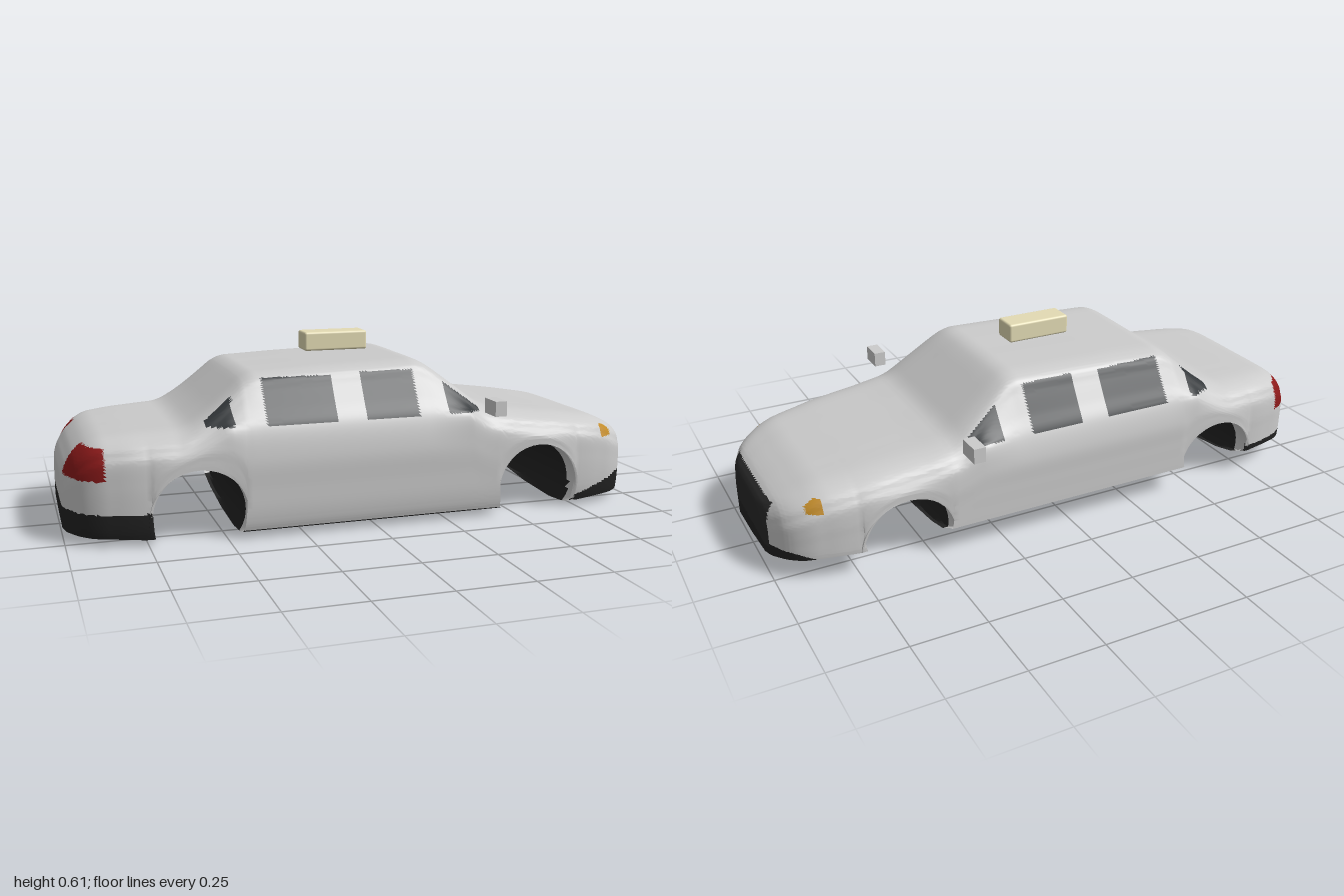
import * as THREE from 'three';
import { toCreasedNormals } from 'three/addons/utils/BufferGeometryUtils.js';
import { RoundedBoxGeometry } from 'three/addons/geometries/RoundedBoxGeometry.js';

const { lerp, clamp } = THREE.MathUtils;

// Piecewise table lookup, and a softened version of it
function table(points, x) {
  if (x <= points[0][0]) return points[0][1];
  for (let i = 1; i < points.length; i++) {
    const [x0, y0] = points[i - 1], [x1, y1] = points[i];
    if (x <= x1) return lerp(y0, y1, (x - x0) / (x1 - x0));
  }
  return points[points.length - 1][1];
}
function soft(points, x) {
  const r = Math.min(0.025, 1 - Math.abs(x));
  return [-1, -0.5, 0, 0.5, 1].reduce((sum, k) => sum + table(points, x + k * r), 0) / 5;
}

// Centre-line height, plan half width, flank profile by height, skewed floor by z
const TOP = [[-1, 0.22], [-0.985, 0.26], [-0.95, 0.3], [-0.9, 0.335], [-0.8, 0.345], [-0.62, 0.355],
  [-0.55, 0.4], [-0.41, 0.515], [-0.2, 0.525], [0.18, 0.536], [0.22, 0.513], [0.3, 0.452],
  [0.4, 0.376], [0.5, 0.358], [0.7, 0.332], [0.85, 0.308], [0.94, 0.268], [0.985, 0.24], [1, 0.215]];
const WIDTH = [[-1, 0.17], [-0.985, 0.235], [-0.96, 0.28], [-0.9, 0.328], [-0.8, 0.357], [-0.65, 0.375],
  [-0.45, 0.383], [0.45, 0.383], [0.65, 0.372], [0.8, 0.354], [0.9, 0.326], [0.96, 0.28],
  [0.985, 0.235], [1, 0.17]];
const FLANK = [[0, 0.9], [0.02, 0.94], [0.05, 0.965], [0.1, 0.985], [0.25, 1]];
const FLOOR = [[-0.38, 0.12], [-0.36, 0.095], [-0.3, 0.06], [-0.2, 0.035], [0, 0.01], [0.2, 0],
  [0.3, 0.008], [0.36, 0.025]];
const ARCHES = [-0.59, 0.585], ARCH_R = 0.16, ARCH_Y = 0.08;
const SIDE_ROWS = 72, FLOOR_ROWS = 14;

// Stations along the car; arch stations also carry a point on the wheel arch
function stations() {
  const list = [];
  const span = (a, b, n) => {
    for (let i = 0; i < n; i++) list.push({ x: lerp(a, b, (i + 0.5) / n), k: 1 });
  };
  const arch = cx => {
    for (let i = 0; i <= 24; i++) {
      const a = (210 - 10 * i) * Math.PI / 180;
      list.push({ x: cx + ARCH_R * (i / 12 - 1), k: 1, ax: cx + ARCH_R * Math.cos(a), ay: ARCH_Y + ARCH_R * Math.sin(a) });
    }
  };
  const shrink = [0, 0.12, 0.25, 0.4, 0.55, 0.7, 0.85, 1];
  shrink.forEach(k => list.push({ x: -1, k }));
  span(-1, -0.94, 12);
  span(-0.94, -0.75, 18);
  arch(ARCHES[0]);
  span(-0.43, 0.425, 86);
  arch(ARCHES[1]);
  span(0.745, 0.94, 18);
  span(0.94, 1, 12);
  shrink.reverse().forEach(k => list.push({ x: 1, k }));
  return list;
}

// Half ring of one station: roof centre, down the flank, in along the floor
function halfRing(st, s) {
  const h = soft(TOP, st.x), w = soft(WIDTH, st.x);
  const cabin = clamp((h - 0.36) / 0.17, 0, 1);
  const lift = Math.max(0, (Math.abs(st.x) - 0.75) / 0.25) * 0.03;
  const floorAt = z => Math.max(st.ay ?? 0, table(FLOOR, z) + lift);
  const yb = floorAt(s * w * 0.95);
  const belt = Math.min(0.36, h - 0.07), beltW = w * lerp(0.985, 0.95, cabin);
  const edgeW = lerp(0.93 * w, 0.295, cabin), edgeY = h - lerp(0.035, 0.055, cabin);
  const pts = [[0, h], [edgeW * 0.45, h], [edgeW * 0.78, h - 0.004], [edgeW * 0.92, h - 0.018], [edgeW, edgeY],
    [lerp(edgeW, beltW, 0.5), lerp(edgeY, belt, 0.5)], [beltW, belt]];
  for (const f of [0.7, 0.42, 0.2, 0.07, 0]) {
    const y = lerp(yb, belt, f);
    pts.push([w * table(FLANK, y), y]);
  }
  const curve = new THREE.CatmullRomCurve3(pts.map(p => new THREE.Vector3(0, p[1], p[0])), false, 'centripetal');
  const ring = [];
  const ax = st.ax ?? st.x;
  for (let j = 0; j <= SIDE_ROWS; j++) {
    const t = j / SIDE_ROWS, p = curve.getPoint(t);
    ring.push([lerp(st.x, ax, t * t), p.y, s * p.z]);
  }
  const zs = s * pts[pts.length - 1][0];
  for (let j = 1; j <= FLOOR_ROWS; j++) {
    const z = zs * (1 - j / FLOOR_ROWS);
    ring.push([ax, floorAt(z), z]);
  }
  // nose and tail caps shrink towards their centre
  return ring.map(([x, y, z]) => [x, lerp(0.12, y, st.k), z * st.k]);
}

function bodyGeometry() {
  const rings = stations().map(st => [...halfRing(st, 1), ...halfRing(st, -1).reverse()]);
  const n = rings[0].length, index = [];
  for (let i = 0; i < rings.length - 1; i++) {
    for (let j = 0; j < n - 1; j++) {
      const a = i * n + j, b = a + n;
      index.push(a, a + 1, b + 1, a, b + 1, b);
    }
  }
  const geo = new THREE.BufferGeometry();
  geo.setAttribute('position', new THREE.Float32BufferAttribute(rings.flat(2), 3));
  geo.setIndex(index);
  return toCreasedNormals(geo, 0.7);
}

// Which painted part a spot on the shell belongs to
function partAt(x, y, z, ny) {
  const az = Math.abs(z);
  const inside = (v, a, b) => v > a && v < b;
  const inArch = ARCHES.some(cx => Math.hypot(x - cx, y - ARCH_Y) < ARCH_R + 0.002);
  if (inArch && az < 0.34) return az < 0.29 ? 'underbody' : 'body';
  if (az > 0.25 && y > 0.365) {
    if (inside(x, -0.372, -0.138) && y < 0.503) return 'sideWindows';
    if (inside(x, -0.035, 0.145) && y < 0.508) return 'sideWindows';
    if (inside(x, -0.56, -0.475) && y < 0.38 + (x + 0.56) * 0.8) return 'sideWindows';
    if (inside(x, 0.25, 0.37) && y < 0.465 - (x - 0.25) * 0.75) return 'sideWindows';
  }
  if (x > 0.94 && az < 0.195 && inside(y, 0.09, 0.243)) return 'grille';
  if (x > 0.86 && inside(az, 0.15, 0.225) && inside(y, 0.243, 0.292)) return 'headlights';
  if (inside(x, 0.85, 0.895) && az > 0.29 && inside(y, 0.24, 0.28)) return 'indicators';
  if (x < -0.875 && az > 0.175 && inside(y, 0.215, 0.312)) return 'tailLights';
  if (x > 0.74 && y < lerp(0.04, 0.105, clamp((x - 0.74) / 0.2, 0, 1))) return 'bumpers';
  if (x < -0.72 && y < 0.108) return 'bumpers';
  if (y < 0.028 || (ny < -0.5 && az < 0.3 && y < 0.1)) return 'underbody';
  return 'body';
}

const COLORS = { body: 0xcccccc, underbody: 0x222222, bumpers: 0x222222, grille: 0x2a2a2a, sideWindows: 0x33373a,
  headlights: 0xe6e6e6, indicators: 0xc08a28, tailLights: 0x8c1a1a };
const paint = color => new THREE.MeshStandardMaterial({ color });

export function createModel() {
  const car = new THREE.Group();
  car.name = 'car';
  const add = (name, geo, color, x = 0, y = 0, z = 0) => {
    const mesh = new THREE.Mesh(geo, paint(color));
    mesh.name = name;
    mesh.position.set(x, y, z);
    car.add(mesh);
    return mesh;
  };

  // Shell, divided into its painted parts
  const shell = bodyGeometry();
  const pos = shell.attributes.position.array, nor = shell.attributes.normal.array;
  const parts = {};
  for (let i = 0; i < pos.length; i += 9) {
    const mid = k => (pos[i + k] + pos[i + 3 + k] + pos[i + 6 + k]) / 3;
    const name = partAt(mid(0), mid(1), mid(2), nor[i + 1]);
    const part = parts[name] ??= { p: [], n: [] };
    for (let k = i; k < i + 9; k++) {
      part.p.push(pos[k]);
      part.n.push(nor[k]);
    }
  }
  for (const [name, { p, n }] of Object.entries(parts)) {
    const geo = new THREE.BufferGeometry();
    geo.setAttribute('position', new THREE.Float32BufferAttribute(p, 3));
    geo.setAttribute('normal', new THREE.Float32BufferAttribute(n, 3));
    add(name, geo, COLORS[name]).material.side = THREE.DoubleSide;
  }

  // Door mirrors
  for (const s of [1, -1]) {
    add(s > 0 ? 'nearMirror' : 'farMirror', new THREE.BoxGeometry(0.04, 0.05, 0.082), 0xcccccc, 0.387, 0.392, s * 0.427);
  }

  // Roof sign
  add('roofSign', new RoundedBoxGeometry(0.225, 0.065, 0.09, 3, 0.008), 0xe3dbb4, -0.043, 0.582, 0);
  return car;
}
